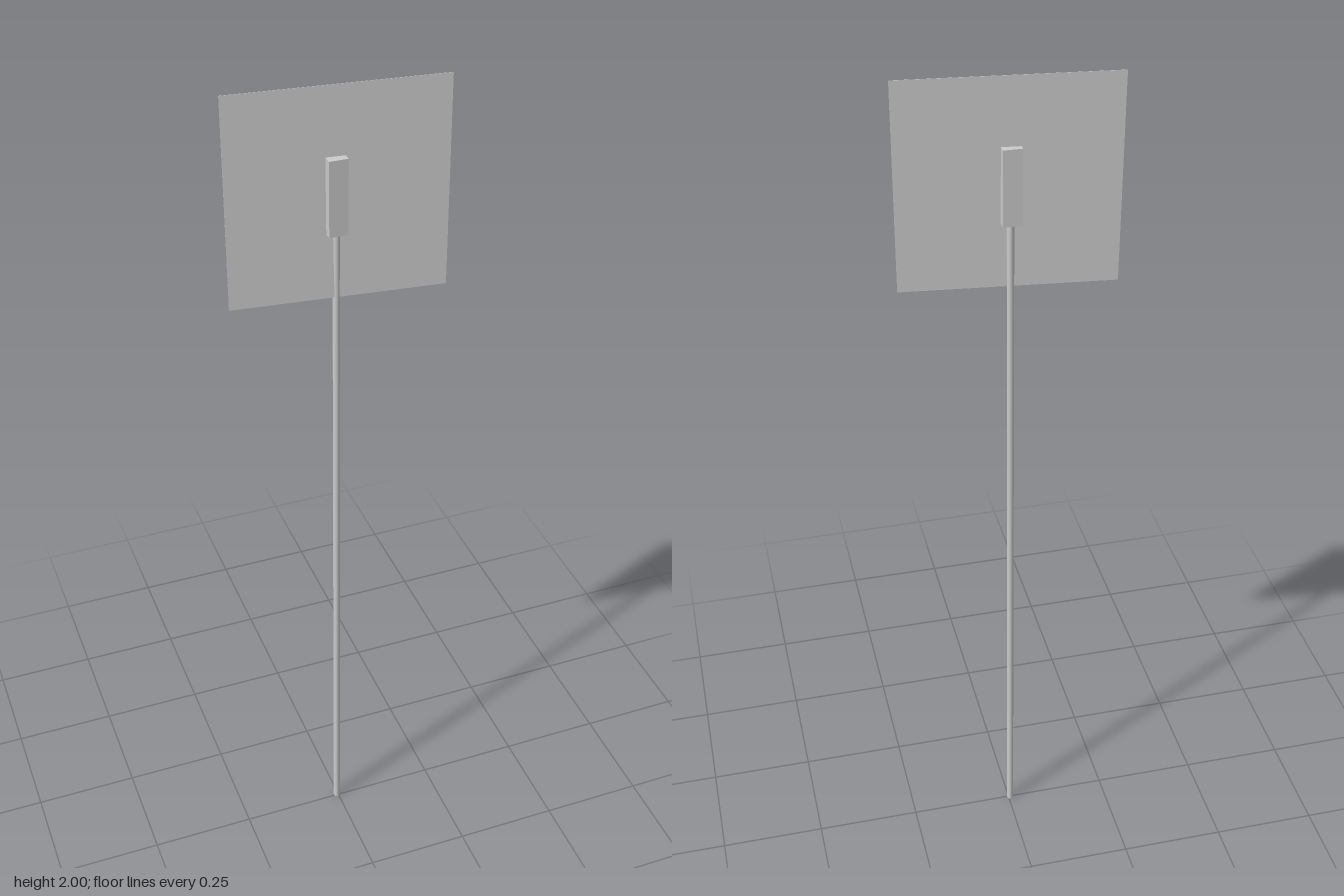
import * as THREE from 'three';

export function createModel() {
  const model = new THREE.Group();
  const material = new THREE.MeshStandardMaterial({ color: 0xcccccc });

  function add(name, geometry, x, y, z) {
    const mesh = new THREE.Mesh(geometry, material);
    mesh.name = name;
    mesh.position.set(x, y, z);
    model.add(mesh);
    return mesh;
  }

  // Slender upright post, ending inside the mounting block
  add('post', new THREE.CylinderGeometry(0.008, 0.008, 1.7, 16), -0.004, 0.85, -0.002);

  // Block that joins the post to the panel
  add('mountingBlock', new THREE.BoxGeometry(0.042, 0.17, 0.035), -0.005, 1.764, -0.0015);

  // Thin square panel, turned slightly and leaning back
  const panel = add('panel', new THREE.BoxGeometry(0.471, 0.47, 0.001), 0, 1.765, -0.001);
  panel.rotation.set(-0.021, -0.113, 0, 'YXZ');

  return model;
}
